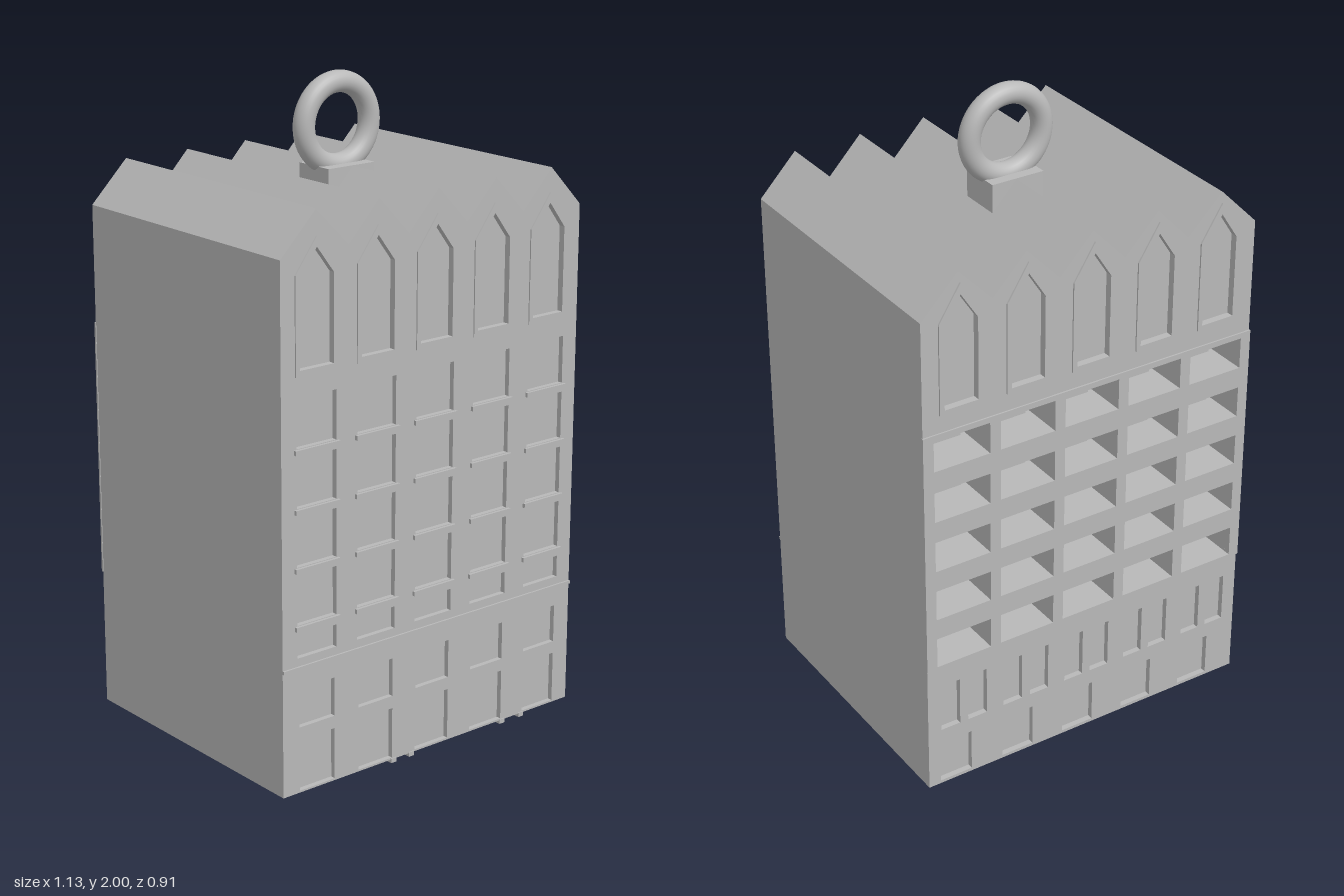
import * as THREE from 'three';

const stone = new THREE.MeshStandardMaterial({ color: 0xb8b8b8 });
stone.name = 'grey stone';

const HALF = 0.565, BASE = 0.01;
const columns = [-0.44, -0.22, 0, 0.22, 0.44];
const floors = [0.53, 0.705, 0.88, 1.055];
const balconies = [0.45, 0.618, 0.786, 0.954, 1.122];

// closed outlines as point lists
const rect = (x, y, w, h) => [[x - w / 2, y], [x + w / 2, y], [x + w / 2, y + h], [x - w / 2, y + h]];
const pointed = (x, y, w, shoulder, apex) =>
  [[x - w / 2, y], [x + w / 2, y], [x + w / 2, shoulder], [x, apex], [x - w / 2, shoulder]];
const vectors = (points) => points.map(([x, y]) => new THREE.Vector2(x, y));

// extrude an outline with holes between two z planes
function slab(name, outline, holes, z0, z1) {
  const shape = new THREE.Shape(vectors(outline));
  holes.forEach((hole) => shape.holes.push(new THREE.Path(vectors(hole))));
  const geometry = new THREE.ExtrudeGeometry(shape, { depth: z1 - z0, bevelEnabled: false });
  geometry.translate(0, 0, z0);
  const mesh = new THREE.Mesh(geometry, stone);
  mesh.name = name;
  return mesh;
}

function box(name, w, h, d, x, y, z) {
  const mesh = new THREE.Mesh(new THREE.BoxGeometry(w, h, d), stone);
  mesh.name = name;
  mesh.position.set(x, y, z);
  return mesh;
}

export function createModel() {
  const model = new THREE.Group();
  model.name = 'gabledBuilding';

  // five-gabled silhouette
  const silhouette = [
    [-HALF, BASE], [HALF, BASE], [HALF, 1.6], [0.445, 1.725], [0.335, 1.61],
    [0.225, 1.725], [0.115, 1.61], [0.005, 1.725], [-0.105, 1.61],
    [-0.215, 1.725], [-0.325, 1.61], [-0.44, 1.725], [-HALF, 1.6],
  ];

  // front and back openings
  const frontHoles = [], backHoles = [], balconyHoles = [];
  columns.forEach((x) => {
    frontHoles.push(pointed(x, 1.28, 0.12, 1.54, 1.62));
    floors.forEach((y) => frontHoles.push(rect(x, y, 0.142, 0.147)));
    frontHoles.push(rect(x, 0.43, 0.142, 0.068), rect(x, 0.215, 0.13, 0.12), rect(x, 0.016, 0.13, 0.16));

    backHoles.push(pointed(x, 1.31, 0.11, 1.57, 1.655));
    backHoles.push(rect(x - 0.047, 0.21, 0.066, 0.16), rect(x + 0.047, 0.21, 0.066, 0.16));
    backHoles.push(rect(x + 0.03, 0.02, 0.11, 0.14));
    balconies.forEach((y) => balconyHoles.push(rect(x, y, 0.185, 0.1)));
  });

  // main mass, then the perforated walls
  model.add(slab('core', silhouette, [], -0.32, 0.433));
  model.add(slab('frontWall', silhouette, frontHoles, 0.433, 0.449));
  model.add(slab('balconyDepth', silhouette, balconyHoles, -0.434, -0.32));
  model.add(slab('backWall', silhouette, [...backHoles, ...balconyHoles], -0.452, -0.434));

  // raised surround of the balcony storeys
  const surround = rect(0, 0.44, HALF * 2 + 0.004, 0.8);
  model.add(slab('balconySurround', surround, balconyHoles, -0.457, -0.45));

  columns.forEach((x) => {
    // sills under the main front windows
    floors.forEach((y) => model.add(box('windowSill', 0.16, 0.014, 0.012, x, y - 0.009, 0.452)));
    // raised surrounds of the pointed windows
    model.add(slab('frontGableFrame', pointed(x, 1.262, 0.15, 1.55, 1.65),
      [pointed(x, 1.28, 0.12, 1.54, 1.62)], 0.448, 0.453));
    model.add(slab('backGableFrame', pointed(x, 1.295, 0.14, 1.58, 1.69),
      [pointed(x, 1.31, 0.11, 1.57, 1.655)], -0.457, -0.45));
    // window frames at the back of each balcony
    balconies.forEach((y) => model.add(slab('balconyWindow', rect(x, y, 0.15, 0.09),
      [rect(x, y + 0.015, 0.12, 0.06)], -0.328, -0.319)));
  });

  // storey ledge above the ground floors
  model.add(box('frontLedge', HALF * 2, 0.01, 0.008, 0, 0.4, 0.451));

  // small door steps below the front edge
  [-0.15, -0.08, 0.29, 0.37].forEach((x) => model.add(box('doorStep', 0.02, 0.014, 0.035, x, 0.007, 0.435)));

  // hanging ring on its block
  model.add(box('ringBlock', 0.175, 0.135, 0.135, 0, 1.66, 0.002));
  const ring = new THREE.Mesh(new THREE.TorusGeometry(0.123, 0.033, 24, 64), stone);
  ring.name = 'ring';
  ring.position.set(0, 1.844, 0);
  model.add(ring);

  return model;
}
